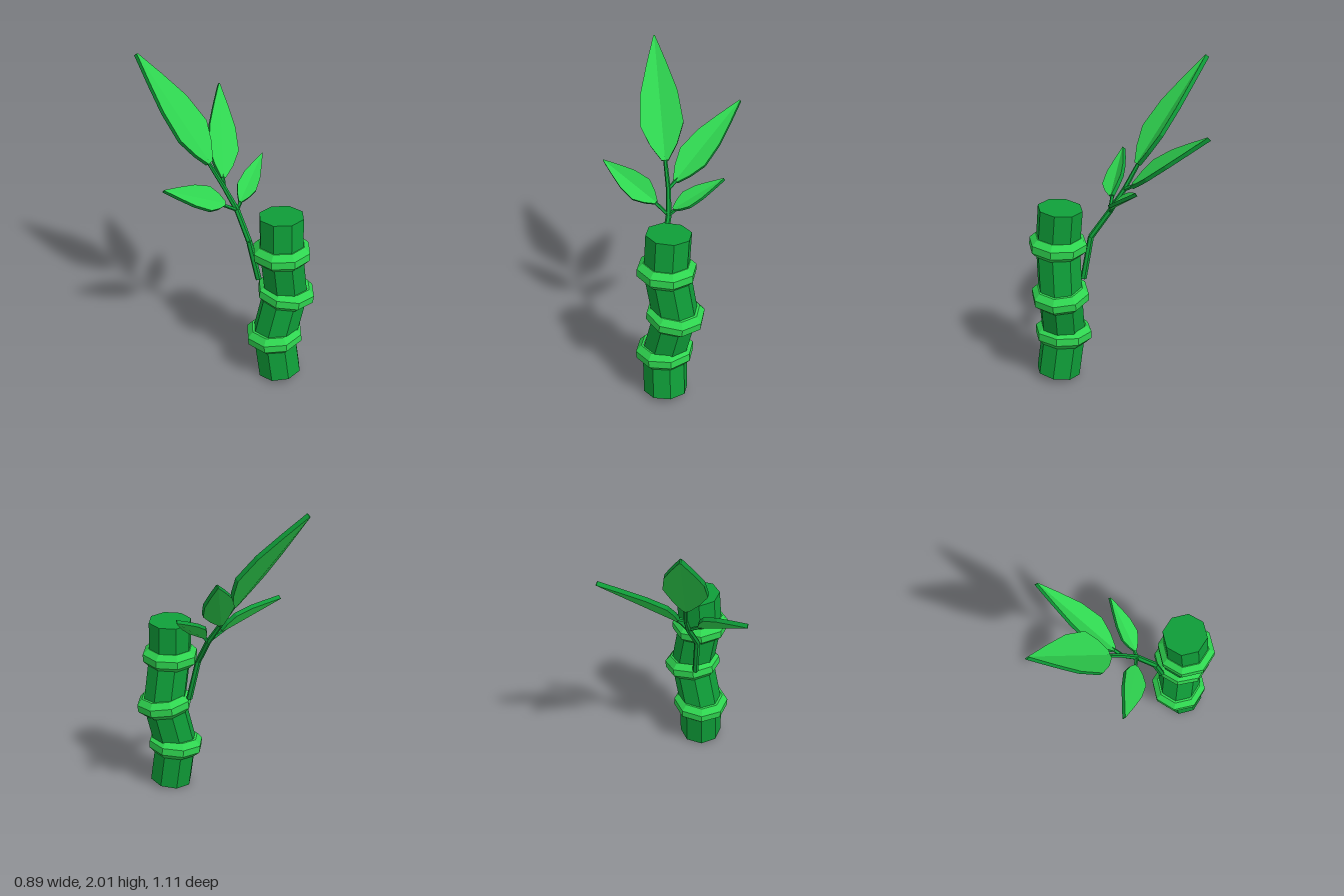
import * as THREE from 'three';

const V = (p) => new THREE.Vector3(...p);
const UP = new THREE.Vector3(0, 1, 0);

export function createModel() {
  const model = new THREE.Group();
  model.name = 'bambooPlant';

  const stalkGreen = new THREE.MeshStandardMaterial({ color: 0x0f9f39 });
  const lightGreen = new THREE.MeshStandardMaterial({ color: 0x2fd650 });
  stalkGreen.name = 'stalk green';
  lightGreen.name = 'light green';
  for (const m of [stalkGreen, lightGreen]) m.flatShading = true;

  const add = (name, geometry, material) => {
    const mesh = new THREE.Mesh(geometry, material);
    mesh.name = name;
    model.add(mesh);
    return mesh;
  };

  // Straight prism between two points
  const rod = (name, from, to, r0, r1, sides) => {
    const a = V(from), b = V(to), d = b.clone().sub(a);
    const mesh = add(name, new THREE.CylinderGeometry(r1, r0, d.length(), sides), stalkGreen);
    mesh.position.copy(a).lerp(b, 0.5);
    mesh.quaternion.setFromUnitVectors(UP, d.normalize());
  };

  // Crooked octagonal stalk
  const joints = [
    [0.21, 0.013, 0.39], [0.182, 0.29, 0.357], [0.257, 0.595, 0.352],
    [0.208, 0.915, 0.373], [0.21, 1.16, 0.352],
  ];
  for (let i = 0; i < 4; i++) rod('stalkSegment', joints[i], joints[i + 1], 0.141, 0.141, 8);

  // Bevelled rings over the inner joints, each with its own tilt
  const ringProfile = [[0.13, -0.06], [0.146, -0.06], [0.183, -0.024], [0.183, 0.024], [0.146, 0.06], [0.13, 0.06]]
    .map(([r, y]) => new THREE.Vector2(r, y));
  const tilts = [[-0.08, 1, -0.03], [0.13, 1, 0], [0, 1, -0.06]];
  tilts.forEach((tilt, i) => {
    const ring = add('stalkRing', new THREE.LatheGeometry(ringProfile, 8), lightGreen);
    ring.position.copy(V(joints[i + 1]));
    ring.quaternion.setFromUnitVectors(UP, V(tilt).normalize());
  });

  // Bent main stem and its side twigs
  const stem = [[0.12, 0.65, 0.235], [0.07, 0.92, 0.195], [0.038, 1.09, 0.08], [-0.015, 1.22, 0], [-0.095, 1.39, -0.085]];
  const stemR = [0.02, 0.019, 0.018, 0.015, 0.012];
  for (let i = 0; i < 4; i++) rod('stem', stem[i], stem[i + 1], stemR[i], stemR[i + 1], 6);
  rod('twig', stem[2], [-0.075, 1.163, 0.085], 0.012, 0.012, 5);
  rod('twig', stem[2], [0.08, 1.14, 0.052], 0.012, 0.012, 5);
  rod('twig', stem[3], [0.006, 1.265, -0.075], 0.013, 0.012, 5);

  // Leaf blade: rows of a thick V-shaped section from base to tip
  const rows = [[0, 0.16], [0.12, 0.62], [0.28, 1], [0.53, 0.86], [0.77, 0.46], [1, 0.03]];
  const leafGeometry = (length, half, thick) => {
    const pos = [], faces = [], rim = [];
    for (const [t, w] of rows) {
      const x = half * w, y = t * length, z = x * 0.3, h = thick / 2;
      pos.push(-x, y, z + h, 0, y, h, x, y, z + h, x, y, z - h, 0, y, -h, -x, y, z - h);
    }
    const quad = (list, a, b, c, d) => list.push(a, b, c, a, c, d);
    for (let i = 0; i < rows.length - 1; i++) {
      for (let j = 0; j < 6; j++) {
        const k = (j + 1) % 6, o = i * 6;
        quad(j % 3 === 2 ? rim : faces, o + j, o + k, o + 6 + k, o + 6 + j);
      }
    }
    const e = (rows.length - 1) * 6;
    quad(rim, e, e + 1, e + 4, e + 5);
    quad(rim, e + 1, e + 2, e + 3, e + 4);
    quad(rim, 5, 4, 1, 0);
    quad(rim, 4, 3, 2, 1);
    const g = new THREE.BufferGeometry();
    g.setAttribute('position', new THREE.Float32BufferAttribute(pos, 3));
    g.setIndex([...faces, ...rim]);
    g.addGroup(0, faces.length, 0);
    g.addGroup(faces.length, rim.length, 1);
    g.computeVertexNormals();
    return g;
  };

  // Place a leaf from base to tip with its upper side toward the given facing
  const leaf = (name, base, tip, facing, half, thick) => {
    const a = V(tip).sub(V(base));
    const length = a.length();
    a.normalize();
    const w = a.clone().cross(V(facing)).normalize();
    const n = w.clone().cross(a);
    const mesh = add(name, leafGeometry(length, half, thick), [lightGreen, stalkGreen]);
    mesh.quaternion.setFromRotationMatrix(new THREE.Matrix4().makeBasis(w, a, n));
    mesh.position.copy(V(base));
  };
  leaf('topLeaf', [-0.085, 1.365, -0.075], [-0.4, 1.99, -0.445], [0.39, 0.61, 0.7], 0.135, 0.028);
  leaf('upperSideLeaf', [0, 1.25, -0.06], [0.175, 1.65, -0.54], [0.14, 0.73, 0.665], 0.1, 0.026);
  leaf('lowerLeftLeaf', [0.065, 1.13, 0.062], [0.302, 1.322, -0.135], [-0.1, 0.8, 0.55], 0.062, 0.022);
  leaf('lowerRightLeaf', [-0.05, 1.155, 0.085], [-0.44, 1.337, 0.085], [0.35, 0.7, 0.6], 0.082, 0.026);

  return model;
}
